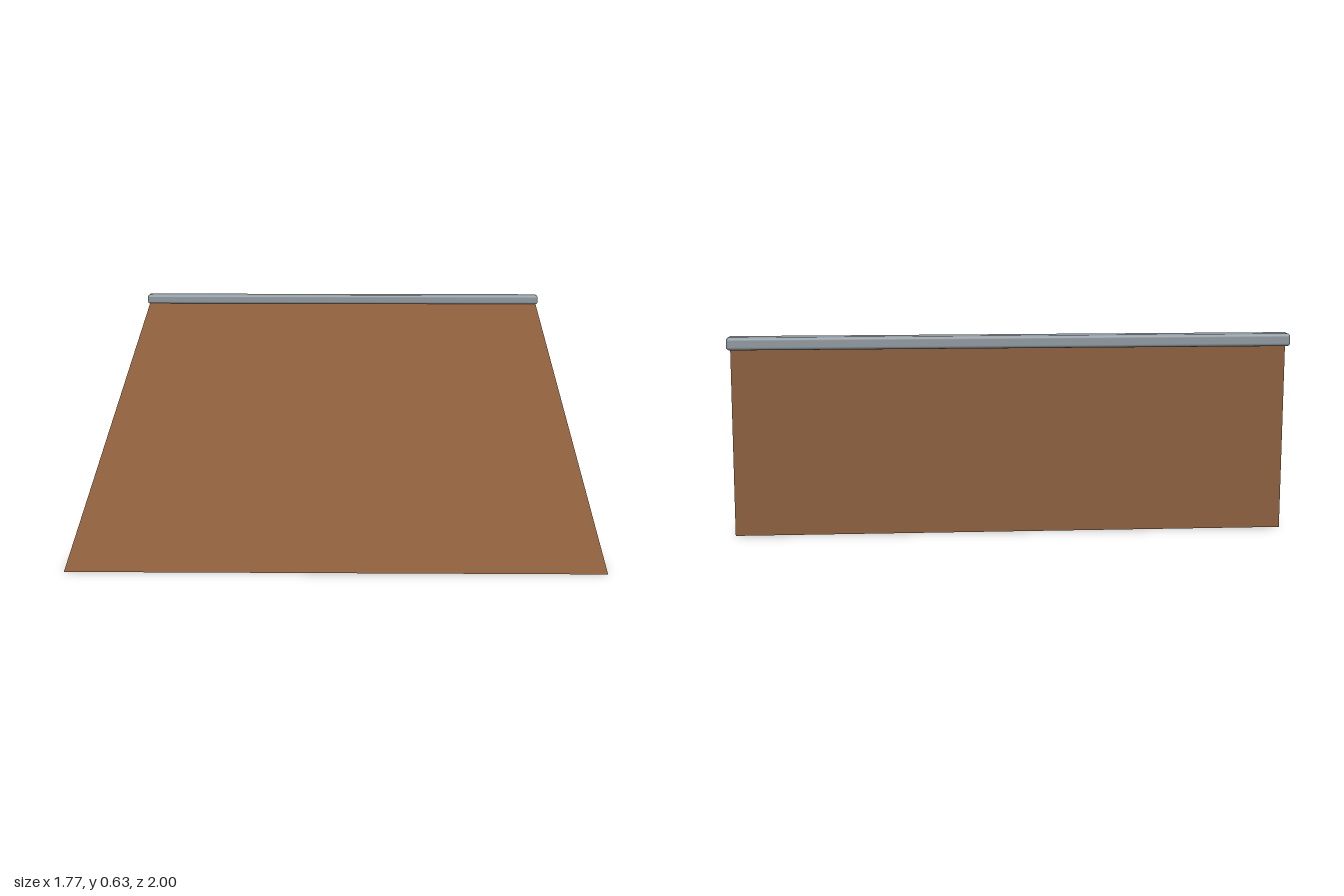
import * as THREE from 'three';
import { RoundedBoxGeometry } from 'three/addons/geometries/RoundedBoxGeometry.js';

export function createModel() {
  const model = new THREE.Group();
  model.name = 'ramp';

  const wood = new THREE.MeshStandardMaterial({ color: 0x8b5e3c });
  wood.name = 'brown wood';
  const steel = new THREE.MeshStandardMaterial({ color: 0x8e989f });
  steel.name = 'grey steel';

  // Solid wedge: side profile (z, y) extruded across the width
  const width = 1.75;
  const profile = new THREE.Shape([
    new THREE.Vector2(1, 0),
    new THREE.Vector2(-0.97, 0.605),
    new THREE.Vector2(-0.97, 0),
  ]);
  const wedgeGeometry = new THREE.ExtrudeGeometry(profile, { depth: width, bevelEnabled: false });
  wedgeGeometry.translate(0, 0, -width / 2).rotateY(-Math.PI / 2);
  const wedge = new THREE.Mesh(wedgeGeometry, wood);
  wedge.name = 'wedge';
  model.add(wedge);

  // Softened edge rail along the top lip
  const rail = new THREE.Mesh(new RoundedBoxGeometry(1.77, 0.04, 0.06, 2, 0.01), steel);
  rail.name = 'topRail';
  rail.position.set(0, 0.615, -0.97);
  model.add(rail);

  return model;
}
